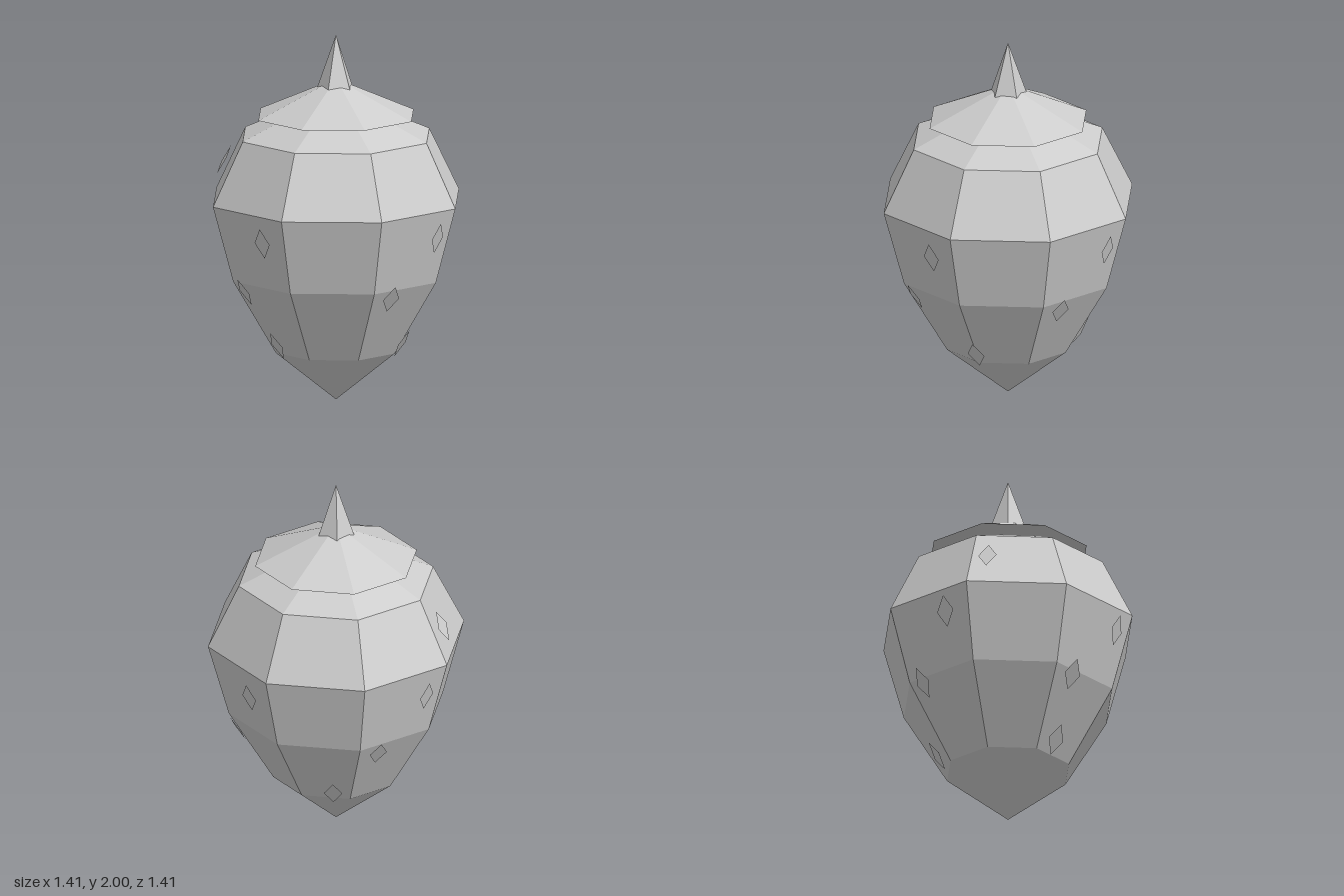
import * as THREE from 'three';

const grey = new THREE.MeshStandardMaterial({ color: 0xcccccc, flatShading: true, side: THREE.DoubleSide });
grey.name = 'light grey';

// Radius and height pairs of the berry, from tip to shoulder
const profile = [[0, 0], [0.345, 0.28], [0.59, 0.69], [0.705, 1.105], [0.535, 1.45], [0, 1.69]]
  .map(([r, y]) => new THREE.Vector2(r, y));

// Surface radius and slope of the berry at a given height
function surfaceAt(y) {
  const i = profile.findIndex((p) => p.y > y);
  const a = profile[i - 1], b = profile[i];
  const slope = (b.x - a.x) / (b.y - a.y);
  return { radius: a.x + slope * (y - a.y), tilt: Math.atan(slope) };
}

function addMesh(parent, name, geometry, y = 0) {
  const mesh = new THREE.Mesh(geometry, grey);
  mesh.name = name;
  mesh.position.y = y;
  parent.add(mesh);
  return mesh;
}

export function createModel() {
  const model = new THREE.Group();
  model.name = 'strawberry';

  // Eight-sided fruit, leafy cap and five-sided stem
  addMesh(model, 'fruit', new THREE.LatheGeometry(profile, 8));
  addMesh(model, 'leafCap', new THREE.ConeGeometry(0.445, 0.2, 8), 1.66);
  addMesh(model, 'stem', new THREE.ConeGeometry(0.119, 0.34, 5), 1.83);

  // Flat diamond seeds in rings: height, count, first angle, step (degrees)
  const seedShape = new THREE.CircleGeometry(1, 4).scale(0.05, 0.0875, 1);
  const seeds = new THREE.Group();
  seeds.name = 'seeds';
  model.add(seeds);
  const rings = [[0.34, 3, -30, 120], [0.65, 4, -34.4, 90], [0.965, 4, -11.5, 90], [1.28, 1, -81.7, 0]];
  for (const [y, count, start, step] of rings) {
    const { radius, tilt } = surfaceAt(y);
    for (let i = 0; i < count; i++) {
      const angle = THREE.MathUtils.degToRad(start + i * step);
      const seed = addMesh(seeds, 'seed', seedShape, y);
      const r = radius + 0.008;
      seed.position.x = Math.sin(angle) * r;
      seed.position.z = Math.cos(angle) * r;
      seed.rotation.set(tilt, angle, 0, 'YXZ');
    }
  }
  return model;
}
